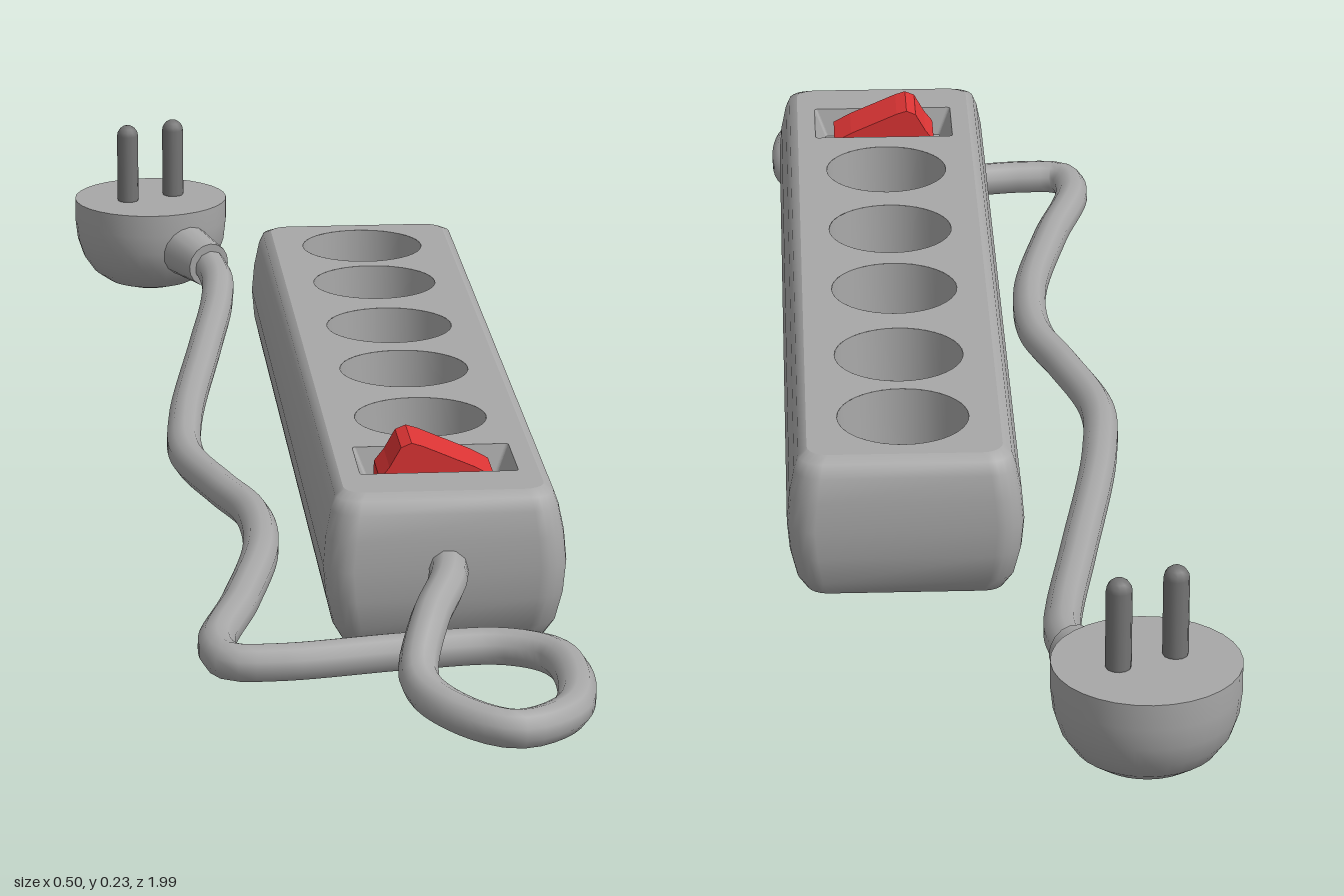
import * as THREE from 'three';

const mat = (name, color) => new THREE.MeshStandardMaterial({ name, color, side: THREE.DoubleSide });

// Rounded rectangle loop, counter-clockwise seen from above, as [x, z] pairs
function loop(hx, hz, r, seg = 5) {
  const pts = [];
  [[1, -1], [-1, -1], [-1, 1], [1, 1]].forEach(([sx, sz], q) => {
    for (let i = 0; i <= seg; i++) {
      const a = (q + i / seg) * Math.PI / 2;
      pts.push([sx * (hx - r) + r * Math.cos(a), sz * (hz - r) - r * Math.sin(a)]);
    }
  });
  return pts;
}

// Side skin through stacked loops; each level is [y, halfX, halfZ, cornerRadius]
function loft(levels) {
  const pos = [], idx = [];
  let n = 0;
  levels.forEach(([y, hx, hz, r]) => {
    const pts = loop(hx, hz, r);
    n = pts.length;
    pts.forEach(([x, z]) => pos.push(x, y, z));
  });
  for (let k = 0; k < levels.length - 1; k++) {
    for (let i = 0; i < n; i++) {
      const a = k * n + i, b = k * n + (i + 1) % n;
      idx.push(a, b, b + n, a, b + n, a + n);
    }
  }
  const g = new THREE.BufferGeometry();
  g.setAttribute('position', new THREE.Float32BufferAttribute(pos, 3));
  g.setIndex(idx);
  g.computeVertexNormals();
  return g;
}

const toShape = pts => new THREE.Shape(pts.map(([x, z]) => new THREE.Vector2(x, -z)));
const circleHole = (x, z, r) => new THREE.Path().absarc(x, -z, r, 0, Math.PI * 2, true);
const flat = (shape, y, up = 1) =>
  new THREE.ShapeGeometry(shape, 20).rotateX(-up * Math.PI / 2).translate(0, y, 0);

export function createModel() {
  const grey = mat('grey plastic', 0xa8a8a8);
  const dark = mat('dark metal', 0x747474);
  const red = mat('red switch', 0xdc3434);
  const model = new THREE.Group();
  const add = (name, geo, material, parent = model) => {
    const m = new THREE.Mesh(geo, material);
    m.name = name;
    parent.add(m);
    return m;
  };

  // Power strip housing, centred on its own origin
  const strip = new THREE.Group();
  strip.name = 'powerStrip';
  strip.position.set(0.102, 0, 0.08);
  model.add(strip);
  const top = 0.19;
  const levels = [
    [0.008, 0.105, 0.555, 0.02], [0.014, 0.115, 0.575, 0.025], [0.035, 0.126, 0.592, 0.03],
    [0.07, 0.134, 0.6, 0.032], [0.105, 0.137, 0.602, 0.032], [0.14, 0.134, 0.6, 0.032],
    [0.17, 0.128, 0.595, 0.03], [0.184, 0.123, 0.586, 0.028], [top, 0.113, 0.572, 0.024],
  ];
  add('housing', loft(levels), grey, strip);
  add('housingBottom', flat(toShape(loop(0.105, 0.555, 0.02)), 0.008, -1), grey, strip);

  // Top panel pierced by the sockets and the switch recess
  const socketZ = [-0.47, -0.294, -0.096, 0.092, 0.29];
  const socketR = 0.077, depth = 0.085, switchZ = 0.453;
  const panel = toShape(loop(0.113, 0.572, 0.024));
  socketZ.forEach(z => panel.holes.push(circleHole(0, z, socketR)));
  const recess = loop(0.09, 0.051, 0.004).map(([x, z]) => new THREE.Vector2(x, -(z + switchZ)));
  panel.holes.push(new THREE.Path(recess.reverse()));
  add('topPanel', flat(panel, top), grey, strip);

  // Round sockets with two contact holes each
  const contacts = [[0.018, -0.031], [-0.018, 0.028]];
  socketZ.forEach(z => {
    const socket = new THREE.Group();
    socket.name = 'socket';
    socket.position.set(0, top - depth, z);
    strip.add(socket);
    add('socketWall', new THREE.CylinderGeometry(socketR, socketR * 0.96, depth, 32, 1, true)
      .translate(0, depth / 2, 0), grey, socket);
    const floor = new THREE.Shape().absarc(0, 0, socketR * 0.96, 0, Math.PI * 2);
    contacts.forEach(([x, dz]) => {
      floor.holes.push(circleHole(x, dz, 0.015));
      add('contactWall', new THREE.CylinderGeometry(0.015, 0.015, 0.04, 16, 1, true)
        .translate(x, -0.02, dz), grey, socket);
      add('contactFloor', new THREE.CircleGeometry(0.015, 16).rotateX(-Math.PI / 2)
        .translate(x, -0.04, dz), grey, socket);
    });
    add('socketFloor', flat(floor, 0), grey, socket);
  });

  // Switch recess with sloping walls
  const wall = loft([[0.155, 0.076, 0.042, 0.004], [top, 0.09, 0.051, 0.004]]).toNonIndexed();
  wall.computeVertexNormals();
  add('recessWall', wall, grey, strip).position.z = switchZ;
  add('recessFloor', flat(toShape(loop(0.076, 0.042, 0.004)), 0.155), grey, strip).position.z = switchZ;

  // Rocker switch
  const rocker = new THREE.Shape([
    [0.035, 0.155], [0.165, 0.155], [0.167, 0.178], [0.145, 0.19],
    [0.085, 0.216], [0.072, 0.22], [0.06, 0.215], [0.047, 0.192], [0.036, 0.178],
  ].map(p => new THREE.Vector2(...p)));
  add('rockerSwitch', new THREE.ExtrudeGeometry(rocker, { depth: 0.072, bevelEnabled: false })
    .translate(0, 0, 0.496), red);

  // Cable from the plug, around the loop and into the housing
  const path = [
    [-0.078, 0.068, -0.78], [-0.068, 0.06, -0.7], [-0.074, 0.05, -0.62], [-0.1, 0.04, -0.45],
    [-0.143, 0.028, -0.16], [-0.148, 0.024, -0.02], [-0.115, 0.024, 0.11], [-0.085, 0.024, 0.21],
    [-0.083, 0.024, 0.34], [-0.12, 0.024, 0.53], [-0.157, 0.024, 0.68], [-0.145, 0.024, 0.733],
    [-0.09, 0.024, 0.74], [0.055, 0.024, 0.715], [0.16, 0.024, 0.707], [0.212, 0.024, 0.74],
    [0.228, 0.024, 0.82], [0.205, 0.024, 0.93], [0.145, 0.025, 0.973], [0.085, 0.032, 0.935],
    [0.052, 0.045, 0.87], [0.07, 0.085, 0.79], [0.097, 0.105, 0.72], [0.105, 0.108, 0.66],
  ].map(p => new THREE.Vector3(...p));
  add('cable', new THREE.TubeGeometry(new THREE.CatmullRomCurve3(path), 160, 0.022, 10), grey);

  // Plug body, face and prongs
  const plug = new THREE.Group();
  plug.name = 'plug';
  plug.position.set(-0.148, 0, -0.895);
  model.add(plug);
  const profile = [[0, 0.003], [0.035, 0.006], [0.06, 0.014], [0.08, 0.028], [0.094, 0.048],
    [0.102, 0.072], [0.105, 0.098], [0.105, 0.128]].map(p => new THREE.Vector2(...p));
  add('plugBody', new THREE.LatheGeometry(profile, 32), grey, plug);
  add('plugFace', new THREE.CircleGeometry(0.105, 32).rotateX(-Math.PI / 2).translate(0, 0.128, 0), grey, plug);
  for (const s of [-1, 1]) {
    const prong = add('prong', new THREE.CapsuleGeometry(0.0145, 0.09, 4, 12), dark, plug);
    prong.position.set(s * 0.032, 0.1755, s * -0.014);
  }

  // Strain relief between plug and cable
  const from = new THREE.Vector3(-0.115, 0.076, -0.835), to = new THREE.Vector3(-0.076, 0.068, -0.752);
  const relief = add('strainRelief', new THREE.CylinderGeometry(0.03, 0.038, from.distanceTo(to), 16), grey);
  relief.position.copy(from).lerp(to, 0.5);
  relief.quaternion.setFromUnitVectors(new THREE.Vector3(0, 1, 0), to.clone().sub(from).normalize());

  return model;
}
